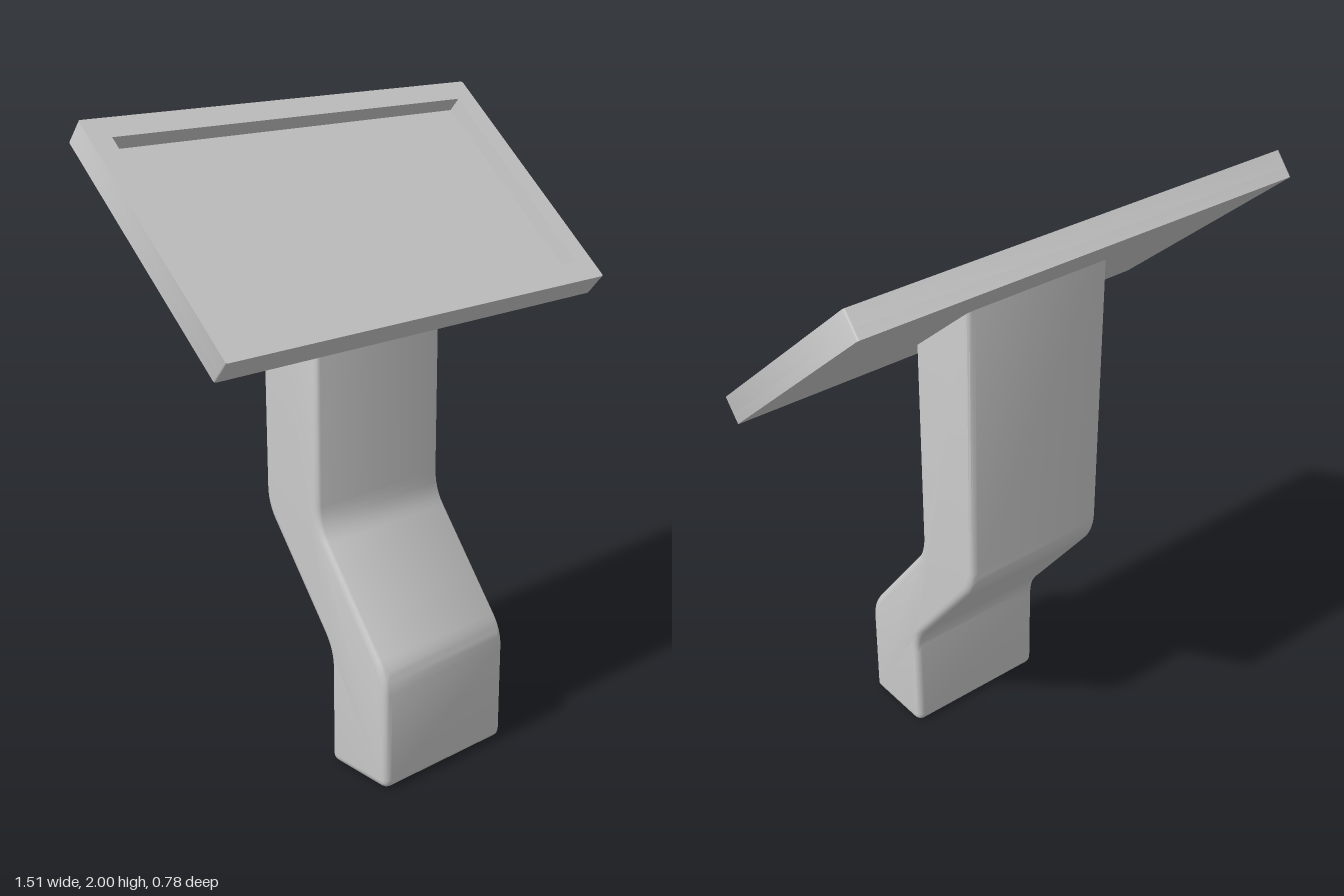
import * as THREE from 'three';
import { toCreasedNormals } from 'three/addons/utils/BufferGeometryUtils.js';

const grey = new THREE.MeshStandardMaterial({ color: 0xcccccc });

function part(name, geometry) {
  const mesh = new THREE.Mesh(geometry, grey);
  mesh.name = name;
  return mesh;
}

// Closed outline from [x, y, cornerRadius] points
function roundedOutline(points, Type = THREE.Shape) {
  const outline = new Type();
  const n = points.length;
  points.forEach(([x, y, r], i) => {
    const corner = new THREE.Vector2(x, y);
    const toward = ([px, py]) => new THREE.Vector2(px, py).sub(corner).setLength(r).add(corner);
    const a = toward(points[(i + n - 1) % n]);
    const b = toward(points[(i + 1) % n]);
    if (i === 0) outline.moveTo(a.x, a.y);
    else outline.lineTo(a.x, a.y);
    if (r > 0) outline.quadraticCurveTo(x, y, b.x, b.y);
  });
  outline.closePath();
  return outline;
}

const rectangle = (w, h, r, Type) => roundedOutline(
  [[-w / 2, -h / 2, r], [w / 2, -h / 2, r], [w / 2, h / 2, r], [-w / 2, h / 2, r]], Type);

// Cranked post: side profile (z, y) extruded across the width with soft edges
function createPost() {
  const width = 0.51, bevel = 0.025;
  const profile = roundedOutline([
    [0.135, 0, 0.03], [0.39, 0, 0.03],
    [0.39, 0.38, 0.06], [0.083, 0.78, 0.06],
    [0.083, 1.556, 0], [-0.175, 1.778, 0],
    [-0.175, 0.78, 0.06], [0.135, 0.38, 0.06],
  ]);
  const geometry = new THREE.ExtrudeGeometry(profile, {
    depth: width - 2 * bevel, bevelEnabled: true, bevelThickness: bevel,
    bevelSize: bevel, bevelOffset: -bevel, bevelSegments: 4, curveSegments: 6,
  });
  geometry.translate(0, 0, bevel - width / 2).rotateY(-Math.PI / 2);
  return part('post', toCreasedNormals(geometry, 0.6));
}

// Tilted tray: back plate with a raised rim around a recessed face
function createPanel() {
  const w = 1.51, h = 0.858, border = 0.073, thickness = 0.085, rimDepth = 0.053;
  const panel = new THREE.Group();
  panel.name = 'panel';
  const slab = (shape, depth, z) =>
    new THREE.ExtrudeGeometry(shape, { depth, bevelEnabled: false, curveSegments: 4 }).translate(0, 0, z);

  const plateDepth = thickness - rimDepth;
  panel.add(part('backPlate', toCreasedNormals(
    slab(rectangle(w, h, 0.008), plateDepth, -thickness / 2), 0.6)));

  const rim = rectangle(w, h, 0.008);
  rim.holes.push(rectangle(w - 2 * border, h - 2 * border, 0, THREE.Path));
  panel.add(part('rim', toCreasedNormals(
    slab(rim, rimDepth, plateDepth - thickness / 2), 0.6)));

  panel.rotation.x = -0.86;
  panel.position.set(0, 1.687, -0.04);
  return panel;
}

export function createModel() {
  const model = new THREE.Group();
  model.name = 'lectern';
  model.add(createPost(), createPanel());
  return model;
}
